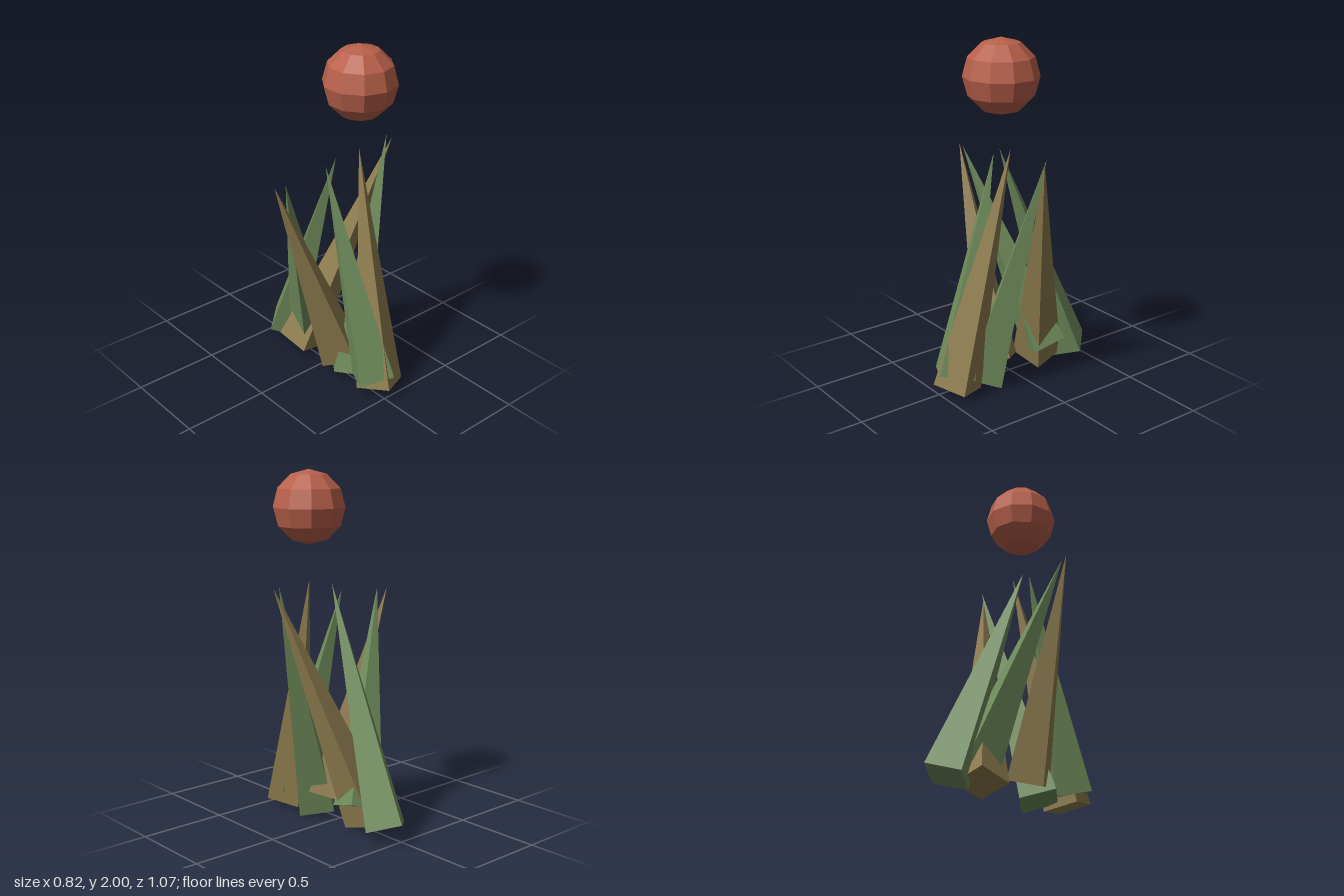
import * as THREE from 'three';

const flat = (name, color) => {
  const m = new THREE.MeshStandardMaterial({ color, flatShading: true });
  m.name = name;
  return m;
};

// Four-sided spike from a base centre to a tip; phase (degrees, x towards z) turns its corners
function spike(name, material, base, tip, phase) {
  const from = new THREE.Vector3(...base);
  const axis = new THREE.Vector3(...tip).sub(from);
  const height = axis.length();
  const geometry = new THREE.ConeGeometry(
    0.142, height, 4, 1, false, THREE.MathUtils.degToRad(90 - phase));
  geometry.translate(0, height / 2, 0);
  const mesh = new THREE.Mesh(geometry, material);
  mesh.name = name;
  mesh.position.copy(from);
  mesh.quaternion.setFromUnitVectors(new THREE.Vector3(0, 1, 0), axis.normalize());
  return mesh;
}

export function createModel() {
  const model = new THREE.Group();
  model.name = 'spikyPlant';
  const green = flat('leafGreen', 0x718e5c);
  const brown = flat('dryLeafBrown', 0x8f7d4e);
  const red = flat('berryRed', 0xb8604a);

  // Ring of leaning leaves: name, material, base, tip, phase
  const leaves = [
    ['frontBrownLeaf', brown, [0.045, 0.046, 0.405], [0.14, 1.4, 0.1], 19],
    ['frontGreenLeaf', green, [0.008, 0.105, 0.393], [-0.065, 1.33, 0.06], 73],
    ['leftGreenLeaf', green, [0.02, 0.042, 0.185], [0.39, 1.395, 0.055], -4],
    ['rightBrownLeaf', brown, [0.01, 0.12, 0.105], [-0.41, 1.31, 0.05], 182],
    ['backRightGreenLeaf', green, [0.055, 0.14, -0.21], [-0.35, 1.31, 0.07], -32],
    ['backLeftBrownLeaf', brown, [-0.018, 0.06, -0.22], [0.407, 1.38, 0.083], 35],
    ['backGreenLeaf', green, [0.03, 0.07, -0.405], [0, 1.37, 0.07], -88],
  ];
  for (const leaf of leaves) model.add(spike(...leaf));

  // Floating faceted ball
  const ball = new THREE.Mesh(new THREE.SphereGeometry(0.206, 10, 6), red);
  ball.name = 'berry';
  ball.position.set(0.108, 1.794, 0.137);
  ball.rotation.y = Math.PI / 2;
  model.add(ball);

  return model;
}
